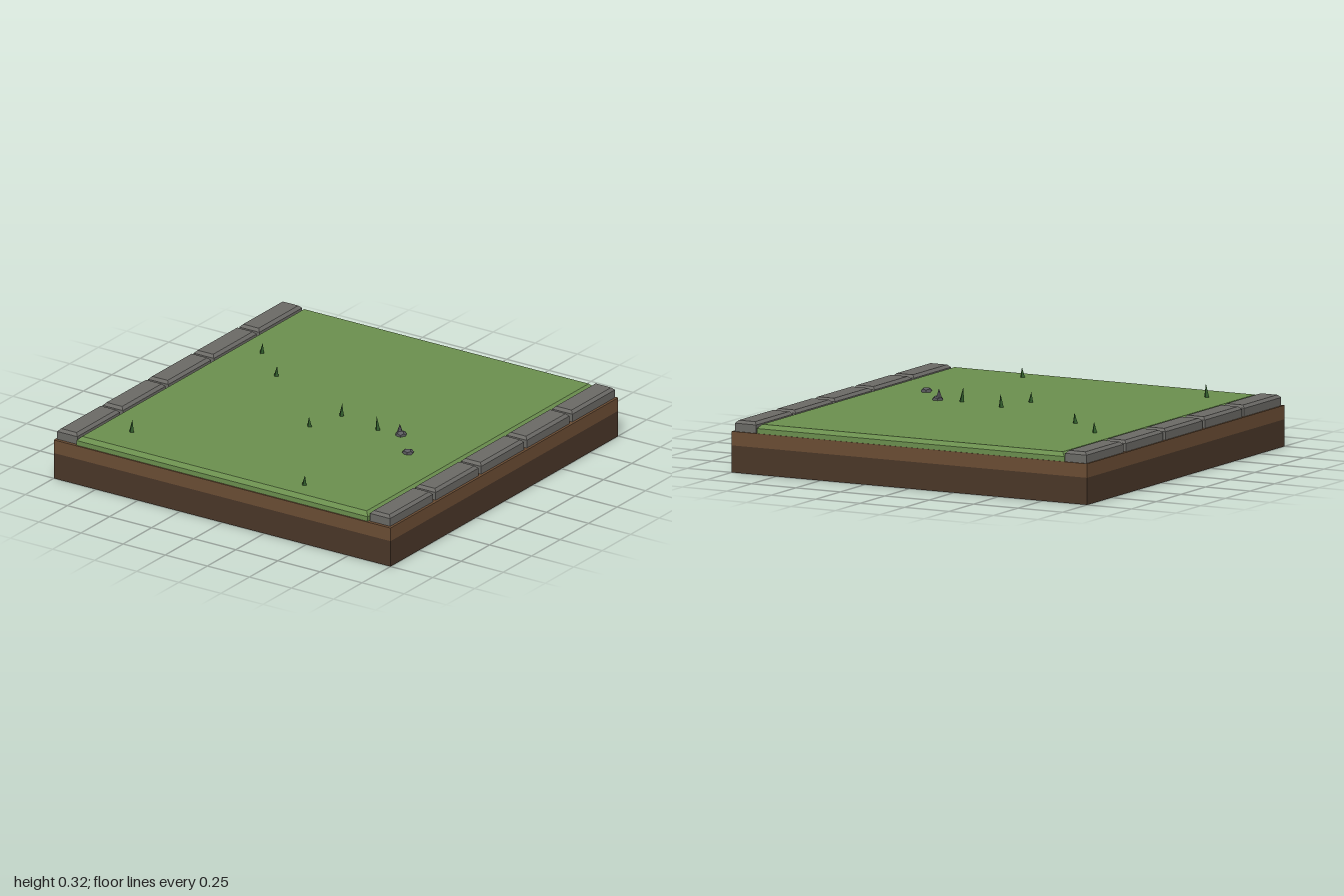
import * as THREE from 'three';

const mat = (color) => new THREE.MeshStandardMaterial({ color, flatShading: true });

export function createModel() {
  const model = new THREE.Group();
  const soilDark = mat(0x4a3728), soilLight = mat(0x6b4d34), grass = mat(0x6b8f4e);
  const stone = mat(0x6b6a66), pebble = mat(0x5c5c60), blade = mat(0x2f5a2a);

  function add(name, geometry, material, x, y, z) {
    const mesh = new THREE.Mesh(geometry, material);
    mesh.name = name;
    mesh.position.set(x, y, z);
    model.add(mesh);
    return mesh;
  }

  // Slab with chamfered edges, its base on y = 0
  function chamferedSlab(w, h, d, c) {
    const x = w / 2 - c, z = d / 2 - c;
    const shape = new THREE.Shape([
      new THREE.Vector2(-x, -z), new THREE.Vector2(x, -z),
      new THREE.Vector2(x, z), new THREE.Vector2(-x, z),
    ]);
    const geometry = new THREE.ExtrudeGeometry(shape, {
      depth: h - 2 * c, bevelEnabled: true, bevelSegments: 1, bevelSize: c, bevelThickness: c,
    });
    return geometry.rotateX(-Math.PI / 2).translate(0, c, 0);
  }

  // Two layers of earth
  add('lowerSoil', new THREE.BoxGeometry(2, 0.135, 2), soilDark, 0, 0.0675, 0);
  add('upperSoil', new THREE.BoxGeometry(2, 0.07, 2), soilLight, 0, 0.17, 0);

  // Lawn, sunk a little into the earth
  add('lawn', chamferedSlab(1.73, 0.07, 1.99, 0.02), grass, -0.005, 0.18, -0.002);

  // Border stones along both sides
  for (const x of [-0.932, 0.926]) {
    for (let i = 0; i < 5; i++) {
      add('borderStone', chamferedSlab(0.12, 0.075, 0.375, 0.014), stone, x, 0.185, -0.805 + i * 0.4);
    }
  }

  // Grass blades: x, z, height, sideways lean of the tip
  const blades = [
    [-0.71, -0.4, 0.055, 0.004], [-0.49, -0.2, 0.055, 0.005], [0.06, 0.04, 0.068, 0.004],
    [0.31, 0.09, 0.074, -0.008], [0.005, 0.24, 0.053, -0.003], [-0.68, 0.79, 0.07, 0.005],
    [0.4, 0.87, 0.052, 0.004],
  ];
  for (const [x, z, h, lean] of blades) {
    const geometry = new THREE.ConeGeometry(0.014, h, 4).translate(0, h / 2, 0);
    const p = geometry.attributes.position;
    for (let i = 0; i < p.count; i++) p.setX(i, p.getX(i) + (lean * p.getY(i)) / h);
    add('grassBlade', geometry, blade, x, 0.248, z);
  }

  // Loose pebbles, the first one peaked
  const first = add('pebble', new THREE.DodecahedronGeometry(0.03), pebble, 0.44, 0.254, 0.08);
  first.scale.set(0.95, 0.6, 1.1);
  first.rotation.y = 0.5;
  add('pebblePeak', new THREE.ConeGeometry(0.018, 0.055, 5), pebble, 0.432, 0.28, 0.078);
  const second = add('pebble', new THREE.DodecahedronGeometry(0.03), pebble, 0.6, 0.258, 0.255);
  second.scale.set(1, 0.55, 0.85);
  second.rotation.y = 0.4;

  return model;
}
